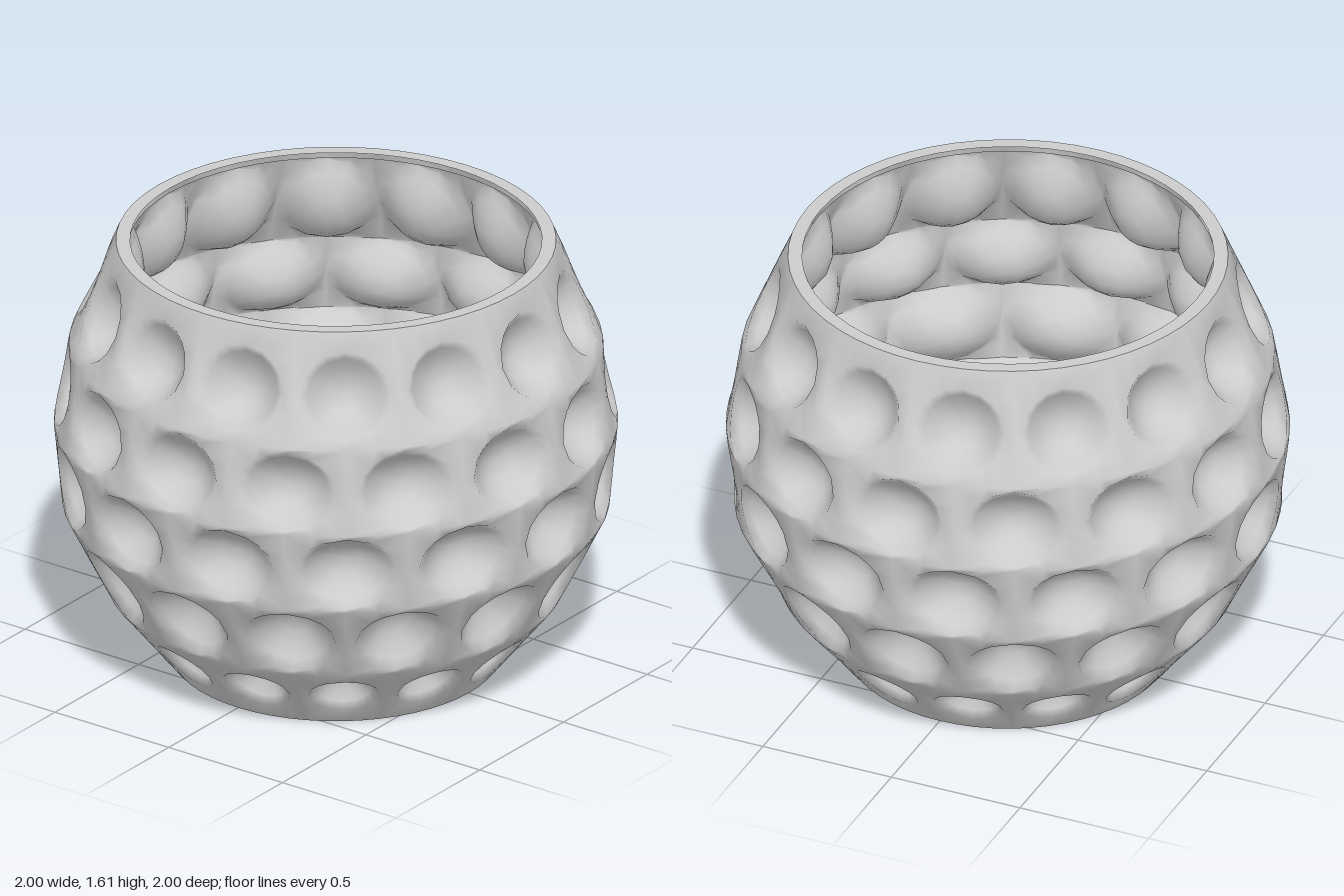
import * as THREE from 'three';
import { mergeVertices } from 'three/addons/utils/BufferGeometryUtils.js';

const COUNT = 14;          // dimples per row
const SIDES = 16;          // points around each dimple
const WALL = 0.05;
const HALF = Math.PI / COUNT;
const BOWL_RINGS = [1, 0.85, 0.65, 0.4, 0];

// Bands of the wall, bottom to top: edges [radius, y], dimple centre (v),
// dimple size as a share of the cell (fu, fv) and depth
const EDGES = [[0.585, 0], [0.81, 0.28], [0.97, 0.6], [1.0, 0.91], [0.945, 1.22], [0.78, 1.61]];
const BANDS = [
  { v: 0.1, fu: 0.78, fv: 0.62, depth: 0.1 },
  { v: 0, fu: 0.83, fv: 0.9, depth: 0.12 },
  { v: 0, fu: 0.83, fv: 0.92, depth: 0.12 },
  { v: 0, fu: 0.82, fv: 0.92, depth: 0.12 },
  { v: -0.08, fu: 0.84, fv: 0.74, depth: 0.12 },
];

// Point on a band: u around, v up (both -1..1 in the cell), pushed in by depth
function wallPoint(row, angle, u, v, depth) {
  const [r0, y0] = EDGES[row], [r1, y1] = EDGES[row + 1];
  const t = (v + 1) / 2, len = Math.hypot(r1 - r0, y1 - y0);
  const r = r0 + (r1 - r0) * t - depth * (y1 - y0) / len;
  const y = y0 + (y1 - y0) * t + depth * (r1 - r0) / len;
  const a = angle + u * HALF;
  return [r * Math.sin(a), y, r * Math.cos(a)];
}

// Join a list of equal closed rings into triangles
function stitch(out, rings, flip) {
  for (let k = 0; k < rings.length - 1; k++) {
    for (let i = 0; i < SIDES; i++) {
      const j = (i + 1) % SIDES;
      const a = rings[k][i], b = rings[k][j], c = rings[k + 1][j], d = rings[k + 1][i];
      if (flip) out.push(...a, ...c, ...b, ...a, ...d, ...c);
      else out.push(...a, ...b, ...c, ...a, ...c, ...d);
    }
  }
}

function smoothGeometry(positions) {
  const raw = new THREE.BufferGeometry();
  raw.setAttribute('position', new THREE.Float32BufferAttribute(positions, 3));
  const geo = mergeVertices(raw, 1e-4);
  geo.computeVertexNormals();
  return geo;
}

// i-th point around a square of half-size 1, starting at the right side
function squarePoint(i) {
  const q = SIDES / 4, side = Math.floor(i / q), s = -1 + 2 * (i % q) / q;
  return [[1, s], [-s, 1], [-1, -s], [s, -1]][side];
}

// One row of cells: a flat web around each dimple, then the dimple itself.
// On the inside the bumps widen until neighbours meet.
function addBand(out, row, inner) {
  const band = BANDS[row];
  const inset = inner ? WALL : 0;
  const fu = inner ? 0.98 : band.fu;
  const fv = inner ? 0.96 : band.fv;
  const cv = inner ? 0 : band.v;
  const points = fn => Array.from({ length: SIDES }, (_, i) => fn(...squarePoint(i)));
  for (let n = 0; n < COUNT; n++) {
    const angle = (2 * n + (row % 2)) * HALF;
    const border = points((u, v) => wallPoint(row, angle, u, v, inset));
    const bowl = BOWL_RINGS.map(q => points((sx, sy) => {
      const l = Math.hypot(sx, sy);
      const depth = inset + band.depth * (1 - q * q);
      return wallPoint(row, angle, q * fu * sx / l, cv + q * fv * sy / l, depth);
    }));
    stitch(out, [border, ...bowl], inner);
  }
}

export function createModel() {
  const group = new THREE.Group();
  group.name = 'dimpledBowl';
  const material = new THREE.MeshStandardMaterial({ color: 0xcccccc, side: THREE.DoubleSide });
  const add = (name, geo, y = 0, tilt = 0) => {
    const mesh = new THREE.Mesh(geo, material);
    mesh.name = name;
    mesh.position.y = y;
    mesh.rotation.x = tilt;
    group.add(mesh);
  };

  // Outer wall with hollows in one smooth skin, inner wall row by row
  const outer = [];
  BANDS.forEach((_, row) => {
    const inner = [];
    addBand(outer, row, false);
    addBand(inner, row, true);
    add(`innerWallRow${row + 1}`, smoothGeometry(inner));
  });
  add('outerWall', smoothGeometry(outer));

  // Rim, underside and inside floor
  const [bottomR] = EDGES[0], [topR, topY] = EDGES[EDGES.length - 1];
  add('rim', new THREE.RingGeometry(topR - WALL, topR, 56), topY, -Math.PI / 2);
  add('underside', new THREE.CircleGeometry(bottomR, 56), 0, Math.PI / 2);
  add('floor', new THREE.CircleGeometry(bottomR + 0.02, 56), 0.08, -Math.PI / 2);
  return group;
}
